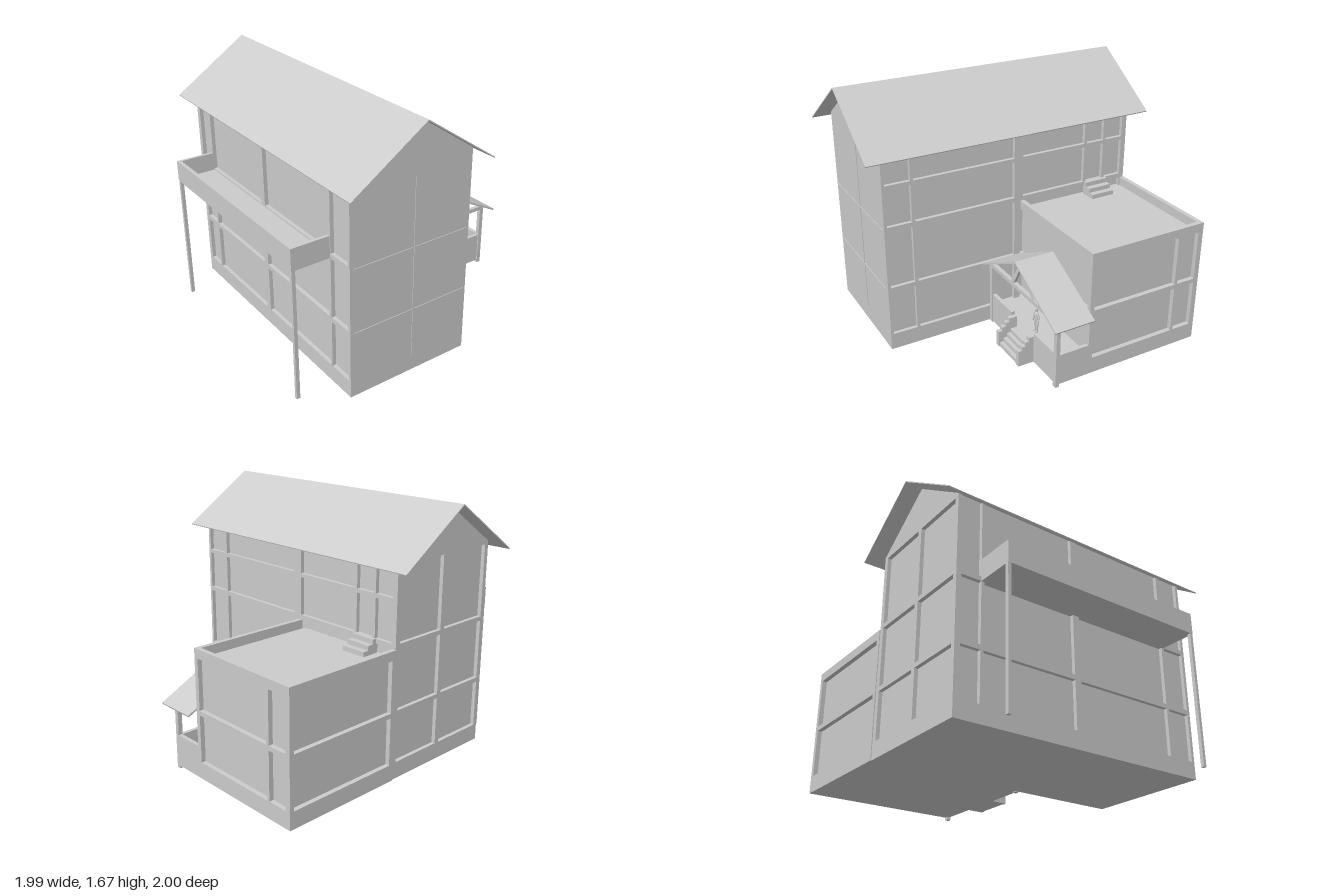
import * as THREE from 'three';

export function createModel() {
  const model = new THREE.Group();
  const material = new THREE.MeshStandardMaterial({ color: 0xcccccc, flatShading: true, side: THREE.DoubleSide });
  const smooth = new THREE.MeshStandardMaterial({ color: 0xcccccc });

  const group = (name) => {
    const g = new THREE.Group();
    g.name = name;
    model.add(g);
    return g;
  };
  // Box given by its limits on each axis
  const box = (parent, name, x0, x1, y0, y1, z0, z1) => {
    const m = new THREE.Mesh(new THREE.BoxGeometry(x1 - x0, y1 - y0, z1 - z0), material);
    m.position.set((x0 + x1) / 2, (y0 + y1) / 2, (z0 + z1) / 2);
    m.name = name;
    parent.add(m);
    return m;
  };
  // Outline in x and y, extruded along z
  const slab = (parent, name, points, z0, z1) => {
    const shape = new THREE.Shape(points.map(([x, y]) => new THREE.Vector2(x, y)));
    const g = new THREE.ExtrudeGeometry(shape, { depth: z1 - z0, bevelEnabled: false });
    g.translate(0, 0, z0);
    const m = new THREE.Mesh(g, material);
    m.name = name;
    parent.add(m);
  };

  // Main house: recessed wall core, plinth and closed gables
  const house = group('mainHouse');
  const ridgeX = -0.325;
  slab(house, 'wallCore', [[-0.725, 0.03], [0.075, 0.03], [0.075, 1.4], [ridgeX, 1.66], [-0.725, 1.4]], -0.86, 0.88);
  box(house, 'plinth', -0.75, 0.1, 0.02, 0.13, -0.885, 0.89);
  slab(house, 'frontGable', [[-0.75, 0.02], [0.1, 0.02], [0.1, 1.385], [ridgeX, 1.665], [-0.75, 1.385]], 0.87, 0.89);
  slab(house, 'backGable', [[-0.75, 1.36], [0.1, 1.36], [0.1, 1.385], [ridgeX, 1.665], [-0.75, 1.385]], -0.885, -0.86);

  // Timber framing on both long sides
  const framing = group('houseFraming');
  for (const [x0, x1] of [[0.07, 0.1], [-0.75, -0.72]]) {
    for (const [z0, z1] of [[-0.885, -0.86], [-0.72, -0.7], [-0.06, -0.015], [0.685, 0.705]])
      box(framing, 'post', x0, x1, 0.13, 1.385, z0, z1);
    for (const [y0, y1] of [[0.44, 0.47], [0.86, 0.89]])
      box(framing, 'beam', x0, x1, y0, y1, -0.885, 0.89);
  }
  box(framing, 'upperBeam', 0.07, 0.1, 1.14, 1.165, -0.885, 0.89);
  box(framing, 'doorPost', 0.07, 0.1, 0.86, 1.385, -0.57, -0.55);
  box(framing, 'middlePost', 0.07, 0.1, 0.86, 1.385, -0.08, -0.015);

  // Framing of the back wall
  for (const [x0, x1] of [[-0.75, -0.725], [-0.345, -0.31], [0.065, 0.1]])
    box(framing, 'backPost', x0, x1, 0.13, 1.37, -0.885, -0.85);
  for (const [y0, y1] of [[0.44, 0.47], [0.86, 0.89]])
    box(framing, 'backBeam', -0.75, 0.1, y0, y1, -0.885, -0.85);

  // Fine trim on the front wall
  for (const y of [0.45, 0.865]) box(framing, 'frontTrim', -0.73, 0.08, y, y + 0.008, 0.88, 0.894);
  box(framing, 'frontTrim', -0.31, -0.302, 0.13, 1.3, 0.88, 0.894);

  // Thin pitched roof
  slab(group('mainRoof'), 'roof', [[-0.82, 1.34], [ridgeX, 1.672], [0.167, 1.34],
    [0.165, 1.334], [ridgeX, 1.664], [-0.818, 1.334]], -1, 1);

  // Balcony along the left-hand wall in the front view
  const balcony = group('balcony');
  box(balcony, 'floor', -1, -0.74, 0.86, 0.88, -0.72, 0.7);
  box(balcony, 'outerParapet', -1, -0.975, 0.86, 1, -0.72, 0.7);
  for (const [z0, z1] of [[-0.72, -0.7], [0.68, 0.7]]) {
    box(balcony, 'endParapet', -1, -0.74, 0.86, 1, z0, z1);
    box(balcony, 'leg', -0.998, -0.975, 0, 0.87, z0, z1);
  }

  // Flat-roofed wing with a sunken terrace
  const wing = group('wing');
  box(wing, 'wallCore', 0.07, 0.9, 0.03, 0.8, -0.86, -0.09);
  box(wing, 'plinth', 0.1, 0.93, 0.02, 0.13, -0.89, -0.06);
  for (const [y0, y1] of [[0.44, 0.47], [0.8, 0.86]]) {
    box(wing, 'sideBeam', 0.9, 0.93, y0, y1, -0.89, -0.06);
    box(wing, 'backBeam', 0.1, 0.93, y0, y1, -0.89, -0.86);
    box(wing, 'frontBeam', 0.1, 0.93, y0, y1, -0.09, -0.06);
  }
  for (const [z0, z1] of [[-0.89, -0.855], [-0.72, -0.7], [-0.09, -0.06]])
    box(wing, 'sidePost', 0.9, 0.93, 0.13, 0.82, z0, z1);
  box(wing, 'backPost', 0.1, 0.13, 0.13, 0.82, -0.89, -0.86);

  // Steps from the upper door to the terrace
  const terraceSteps = group('terraceSteps');
  for (let i = 0; i < 3; i++)
    box(terraceSteps, 'step', 0.09, 0.125 + i * 0.04, 0.79, 0.89 - i * 0.03, -0.73, -0.56);

  // Porch base, low walls and posts
  const porch = group('porch');
  box(porch, 'base', 0.1, 0.93, 0.02, 0.13, -0.06, 0.165);
  box(porch, 'frontWall', 0.1, 0.38, 0.13, 0.23, 0.14, 0.165);
  box(porch, 'frontWall', 0.66, 0.93, 0.13, 0.23, 0.14, 0.165);
  box(porch, 'sideWall', 0.905, 0.93, 0.13, 0.23, -0.06, 0.165);
  box(porch, 'post', 0.1, 0.13, 0.015, 0.46, 0.145, 0.172);
  box(porch, 'post', 0.9, 0.93, 0, 0.46, 0.145, 0.172);

  // Porch roof with truss
  slab(porch, 'roof', [[0.1, 0.472], [0.515, 0.683], [0.99, 0.443],
    [0.985, 0.433], [0.515, 0.67], [0.1, 0.46]], -0.055, 0.22);
  box(porch, 'tieBeam', 0.1, 0.93, 0.44, 0.468, 0.145, 0.172);
  for (const s of [-1, 1]) {
    const foot = 0.518 + s * 0.125;
    slab(porch, 'strut', [[foot - 0.018, 0.465], [foot + 0.018, 0.465],
      [0.518 + s * 0.005 + 0.012, 0.667], [0.518 + s * 0.005 - 0.012, 0.667]], 0.15, 0.168);
  }

  // Front steps between stepped cheek walls
  const stairs = group('frontStairs');
  for (let i = 0; i < 4; i++) {
    box(stairs, 'step', 0.41, 0.63, 0.02, 0.13 - i * 0.027, 0.14, 0.19 + i * 0.026);
    for (const x of [0.38, 0.63])
      box(stairs, 'cheek', x, x + 0.03, 0.02, 0.208 - i * 0.026, 0.14, 0.198 + i * 0.0255);
  }

  // Small standing figure on the porch
  const figure = group('figure');
  figure.position.set(0.518, 0.13, 0.06);
  const limb = (name, a, b, r) => {
    const p = new THREE.Vector3(...a), q = new THREE.Vector3(...b);
    const d = q.clone().sub(p);
    const m = new THREE.Mesh(new THREE.CapsuleGeometry(r, d.length(), 4, 10), smooth);
    m.position.copy(p).add(q).multiplyScalar(0.5);
    m.quaternion.setFromUnitVectors(new THREE.Vector3(0, 1, 0), d.normalize());
    m.name = name;
    figure.add(m);
    return m;
  };
  limb('head', [0, 0.163, 0], [0, 0.17, 0], 0.011);
  limb('neck', [0, 0.145, 0], [0, 0.155, 0], 0.006);
  limb('torso', [0, 0.095, 0], [0, 0.132, 0], 0.017).scale.z = 0.7;
  for (const s of [-1, 1]) {
    limb('upperArm', [s * 0.02, 0.14, 0], [s * 0.027, 0.11, 0], 0.006);
    limb('lowerArm', [s * 0.027, 0.11, 0], [s * 0.03, 0.075, 0.006], 0.005);
    limb('thigh', [s * 0.009, 0.09, 0], [s * 0.011, 0.05, 0], 0.0085);
    limb('shin', [s * 0.011, 0.05, 0], [s * 0.012, 0.008, 0], 0.006);
    limb('foot', [s * 0.012, 0.005, 0], [s * 0.013, 0.005, 0.014], 0.005);
  }
  return model;
}
